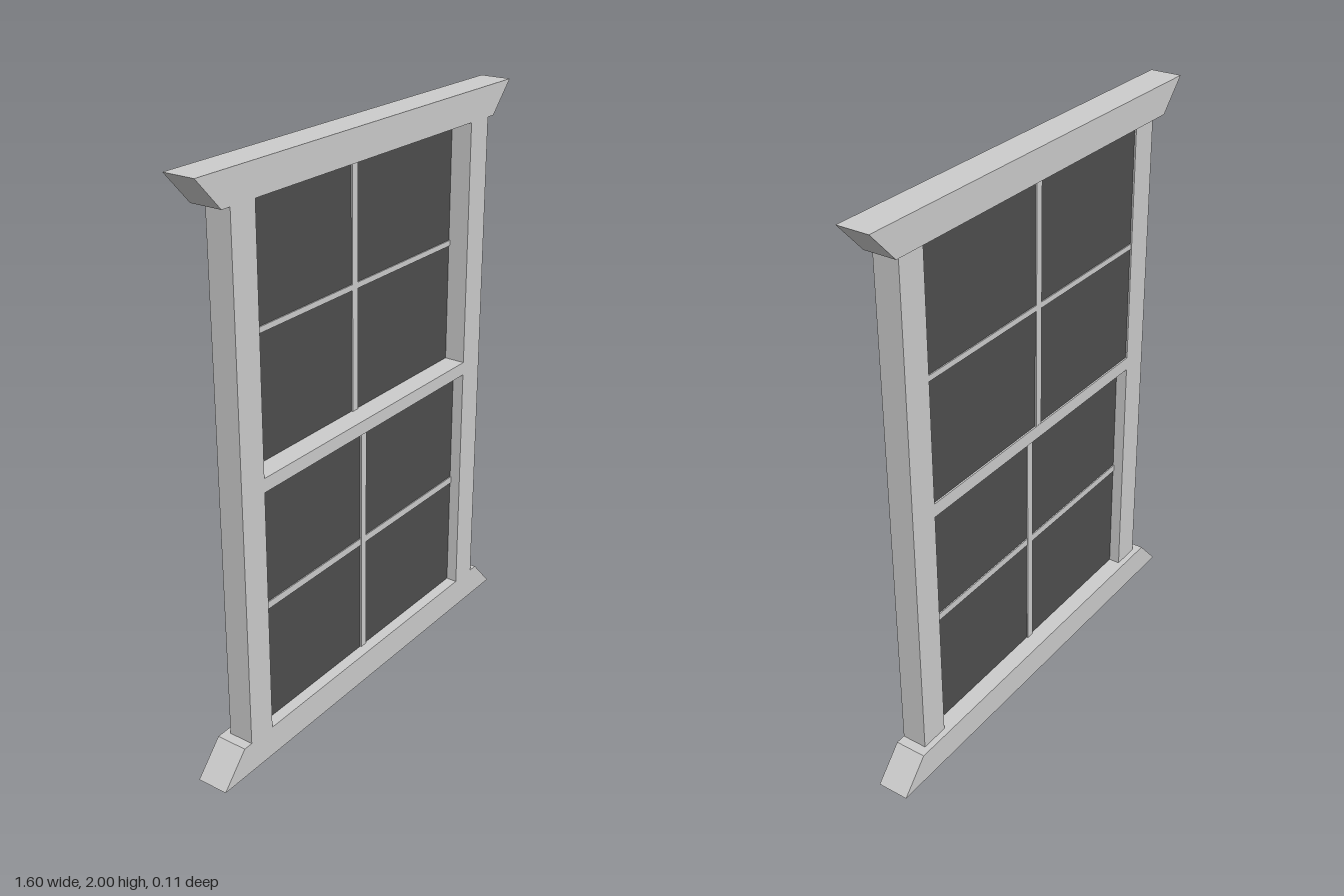
import * as THREE from 'three';

export function createModel() {
  const group = new THREE.Group();
  group.name = 'sashWindow';

  const frameGrey = new THREE.MeshStandardMaterial({ color: 0xcccccc });
  frameGrey.name = 'frameGrey';
  const darkGlass = new THREE.MeshStandardMaterial({ color: 0x4e4e4e });
  darkGlass.name = 'darkGlass';

  const FRONT = 0.056, BACK = -0.034, DEEP = -0.056;
  const OPENING = 0.56, OUTER = 0.665;
  const BOTTOM = 0.11, TOP = 1.893;

  function add(name, geometry, material, parent = group) {
    const mesh = new THREE.Mesh(geometry, material);
    mesh.name = name;
    parent.add(mesh);
    return mesh;
  }

  // Box given by its limits on each axis
  function box(name, [x0, x1], [y0, y1], [z0, z1], material, parent) {
    const geometry = new THREE.BoxGeometry(x1 - x0, y1 - y0, z1 - z0);
    geometry.translate((x0 + x1) / 2, (y0 + y1) / 2, (z0 + z1) / 2);
    return add(name, geometry, material, parent);
  }

  // Trapezoid bar with slanted ends, for the sill and the head
  function slantedBar(name, y0, y1, half0, half1) {
    const shape = new THREE.Shape([
      new THREE.Vector2(-half0, y0), new THREE.Vector2(half0, y0),
      new THREE.Vector2(half1, y1), new THREE.Vector2(-half1, y1),
    ]);
    const geometry = new THREE.ExtrudeGeometry(shape, { depth: FRONT - DEEP, bevelEnabled: false });
    geometry.translate(0, 0, DEEP);
    add(name, geometry, frameGrey);
  }
  slantedBar('sill', 0, BOTTOM, 0.8, 0.7);
  slantedBar('head', TOP, 2, 0.7, 0.8);

  // Side jambs and the meeting rail
  box('leftJamb', [OPENING, OUTER], [BOTTOM, TOP], [BACK, FRONT], frameGrey);
  box('rightJamb', [-OUTER, -OPENING], [BOTTOM, TOP], [BACK, FRONT], frameGrey);
  box('meetingRail', [-OPENING, OPENING], [0.98, 1.028], [BACK, FRONT], frameGrey);

  // Sash: one sheet of glass crossed by glazing bars; the upper sits further back
  function sash(name, y0, y1, barY, barHalf, z) {
    const part = new THREE.Group();
    part.name = name;
    group.add(part);
    box('glass', [-OPENING, OPENING], [y0, y1], [z - 0.004, z + 0.004], darkGlass, part);
    box('verticalBar', [-0.014, 0.014], [y0, y1], [z - 0.009, z + 0.009], frameGrey, part);
    for (const [x0, x1] of [[-OPENING, -0.014], [0.014, OPENING]]) {
      box('horizontalBar', [x0, x1], [barY - barHalf, barY + barHalf], [z - 0.008, z + 0.008], frameGrey, part);
    }
  }
  sash('upperSash', 1.028, TOP, 1.462, 0.01, -0.024);
  sash('lowerSash', BOTTOM, 0.98, 0.543, 0.013, 0.011);

  return group;
}
